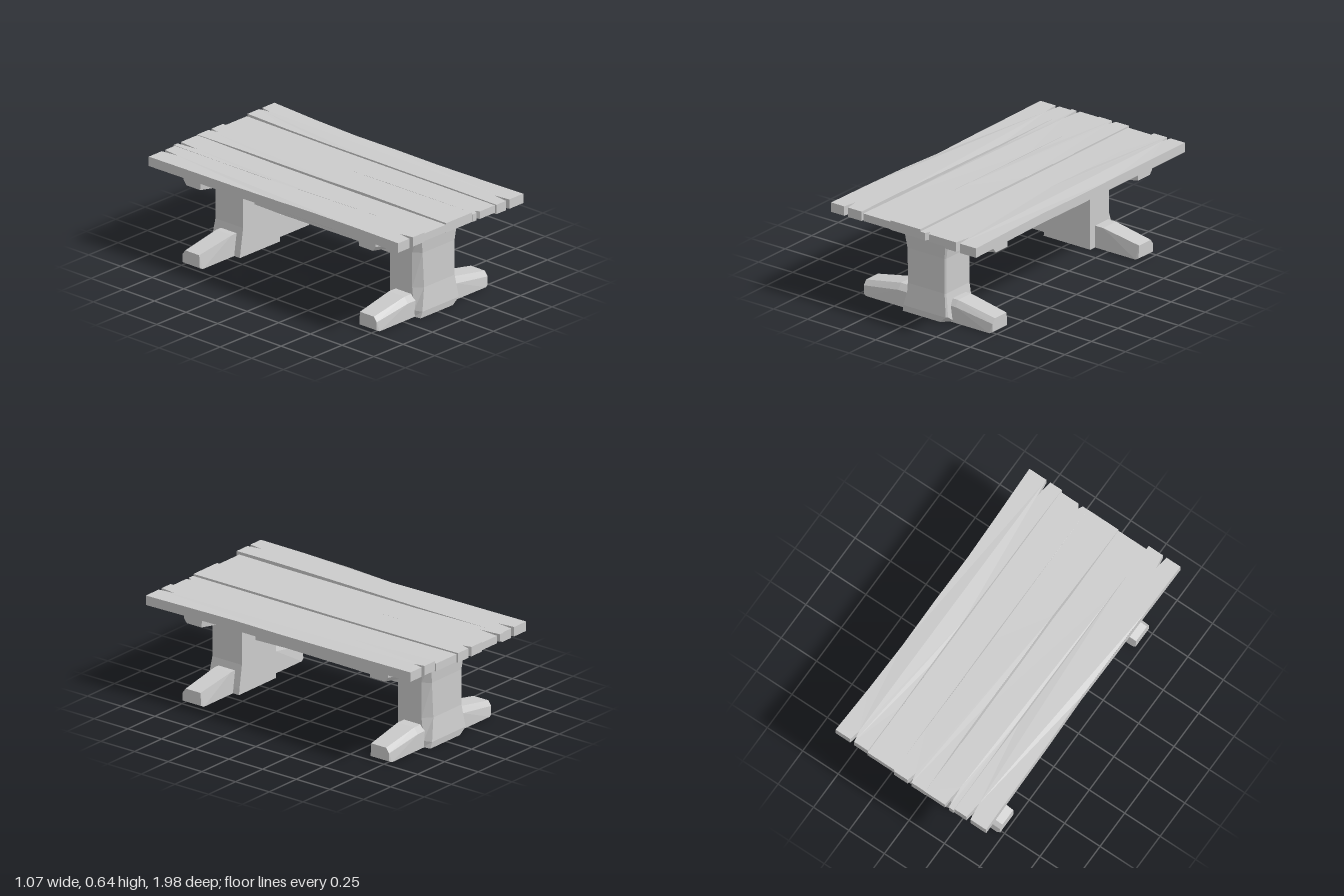
import * as THREE from 'three';
import { ConvexGeometry } from 'three/addons/geometries/ConvexGeometry.js';

const material = new THREE.MeshStandardMaterial({ color: 0xcccccc, flatShading: true });

function addMesh(parent, name, geometry) {
  const mesh = new THREE.Mesh(geometry, material);
  mesh.name = name;
  parent.add(mesh);
  return mesh;
}

// Skins rings of equal point count, each running counter-clockwise seen from the last ring
function loft(rings) {
  const pos = [];
  const n = rings[0].length;
  const last = rings[rings.length - 1];
  const tri = (a, b, c) => pos.push(...a, ...b, ...c);
  for (let r = 0; r < rings.length - 1; r++) {
    const a = rings[r], b = rings[r + 1];
    for (let i = 0; i < n; i++) {
      const j = (i + 1) % n;
      tri(a[i], a[j], b[j]);
      tri(a[i], b[j], b[i]);
    }
  }
  for (let i = 1; i < n - 1; i++) {
    tri(rings[0][0], rings[0][i + 1], rings[0][i]);
    tri(last[0], last[i], last[i + 1]);
  }
  const g = new THREE.BufferGeometry();
  g.setAttribute('position', new THREE.Float32BufferAttribute(pos, 3));
  g.computeVertexNormals();
  return g;
}

// Boards from left to right; a notch is [x, depth], liftFront and liftBack raise the ends
const PLANKS = [
  { x0: -0.533, x1: -0.307, waist: [0.016, 0.003], front: 0.99, back: -0.98, bottom: 0.567, top: 0.626,
    frontNotch: [-0.42, 0.09], backNotch: [-0.405, 0.11], liftFront: 0.014, liftBack: 0 },
  { x0: -0.307, x1: -0.105, waist: [0.007, 0.004], front: 0.972, back: -0.99, bottom: 0.575, top: 0.622,
    backNotch: [-0.26, 0.14], liftFront: 0, liftBack: 0.006 },
  { x0: -0.105, x1: 0.114, waist: [0.01, 0.004], front: 0.975, back: -0.99, bottom: 0.569, top: 0.628,
    backNotch: [0.003, 0.06], liftFront: 0.004, liftBack: 0.004 },
  { x0: 0.114, x1: 0.306, waist: [0.003, 0.001], front: 0.978, back: -0.98, bottom: 0.573, top: 0.62,
    frontNotch: [0.165, 0.03], liftFront: 0, liftBack: 0.004 },
  { x0: 0.306, x1: 0.533, waist: [0.006, 0.016], front: 0.99, back: -0.975, bottom: 0.567, top: 0.626,
    frontNotch: [0.402, 0.11], backNotch: [0.418, 0.07], liftFront: 0, liftBack: 0.014 },
];

// Split board: hewn, slightly waisted sides and V-notched ends
function plankGeometry(p) {
  const points = [];
  const side = (x, inset, from, to) => {
    for (let i = 0; i <= 6; i++) {
      const z = THREE.MathUtils.lerp(from, to, i / 6);
      const wave = Math.cos(z * Math.PI / 2) + 0.2 * Math.sin(7 * z + 9 * x);
      points.push(new THREE.Vector2(x + inset * wave, z));
    }
  };
  const notch = (cut, z, dir) => {
    if (!cut) return;
    const [x, depth] = cut;
    points.push(new THREE.Vector2(x - dir * 0.014, z));
    points.push(new THREE.Vector2(x, z - dir * depth));
    points.push(new THREE.Vector2(x + dir * 0.014, z));
  };
  side(p.x0, p.waist[0], p.back, p.front);
  notch(p.frontNotch, p.front, 1);
  side(p.x1, -p.waist[1], p.front, p.back);
  notch(p.backNotch, p.back, -1);

  const g = new THREE.ExtrudeGeometry(new THREE.Shape(points), { depth: p.top - p.bottom, bevelEnabled: false });
  g.rotateX(Math.PI / 2).translate(0, p.top, 0);
  const pos = g.attributes.position;
  for (let i = 0; i < pos.count; i++) {
    const z = pos.getZ(i);
    const lift = p.liftFront * THREE.MathUtils.smoothstep(z, 0, 0.5)
      + p.liftBack * THREE.MathUtils.smoothstep(-z, 0.5, 0.85);
    pos.setY(i, pos.getY(i) + lift);
  }
  g.computeVertexNormals();
  return g;
}

// Upright sections: height, front face left, right edge, outer depth, corner chip
const UPRIGHT = [
  [0, -0.145, 0.19, 0.81, 0.06],
  [0.04, -0.135, 0.185, 0.815, 0.01],
  [0.18, -0.105, 0.163, 0.8, 0.008],
  [0.4, -0.118, 0.163, 0.8, 0.008],
  [0.53, -0.138, 0.182, 0.81, 0.012],
  [0.575, -0.145, 0.185, 0.81, 0.03],
];

function uprightGeometry() {
  return loft(UPRIGHT.map(([y, xf, xr, z, c]) => [
    [xf, y, z], [xr - c, y, z], [xr, y, z - c], [xr, y, 0.575], [-0.152, y, 0.575], [-0.152, y, z - 0.05],
  ]));
}

// Cross beam with tapered, chipped ends; "flat" is its straight side, "dir" points to the taper
function beamGeometry(flat, dir) {
  const pts = [];
  const add = (x, h, z) => pts.push(new THREE.Vector3(x, flat + dir * h, z));
  for (const s of [-1, 1]) {
    const end = s < 0 ? -0.468 : 0.478;
    for (const z of [0.62, 0.768]) {
      add(s * 0.21, 0.137, z + (z > 0.7 ? -0.025 : 0));
      add(s * 0.21, 0.1, z);
      add(s * 0.21, 0, z);
      add(end - s * 0.02, 0, z);
    }
    add(end, 0.09, 0.63);
    add(end, 0.09, 0.74);
    add(end, 0.06, 0.762);
    add(end, 0.01, 0.762);
    add(end, 0.01, 0.625);
  }
  return new ConvexGeometry(pts);
}

export function createModel() {
  const table = new THREE.Group();
  table.name = 'trestleTable';

  const top = new THREE.Group();
  top.name = 'tableTop';
  table.add(top);
  PLANKS.forEach((p, i) => addMesh(top, `plank${i + 1}`, plankGeometry(p)));

  // Two trestles, the back one turned half round
  for (const [name, turn] of [['frontTrestle', 0], ['backTrestle', Math.PI]]) {
    const trestle = new THREE.Group();
    trestle.name = name;
    addMesh(trestle, 'upright', uprightGeometry());
    addMesh(trestle, 'foot', beamGeometry(0, 1));
    addMesh(trestle, 'topBeam', beamGeometry(0.588, -0.97)).position.z = -0.008;
    trestle.rotation.y = turn;
    table.add(trestle);
  }

  // Hewn stretcher between the uprights: depth, bottom, top, half width
  const stretcher = [[-0.6, 0.3, 0.368, 0.05], [-0.35, 0.298, 0.366, 0.054], [0.35, 0.302, 0.37, 0.05], [0.6, 0.297, 0.37, 0.054]];
  addMesh(table, 'stretcher', loft(stretcher.map(([z, b, t, w]) => [
    [-w, b, z], [w, b, z], [w, t - 0.012, z], [w - 0.012, t, z], [-w, t, z],
  ]))).position.x = -0.015;

  return table;
}
